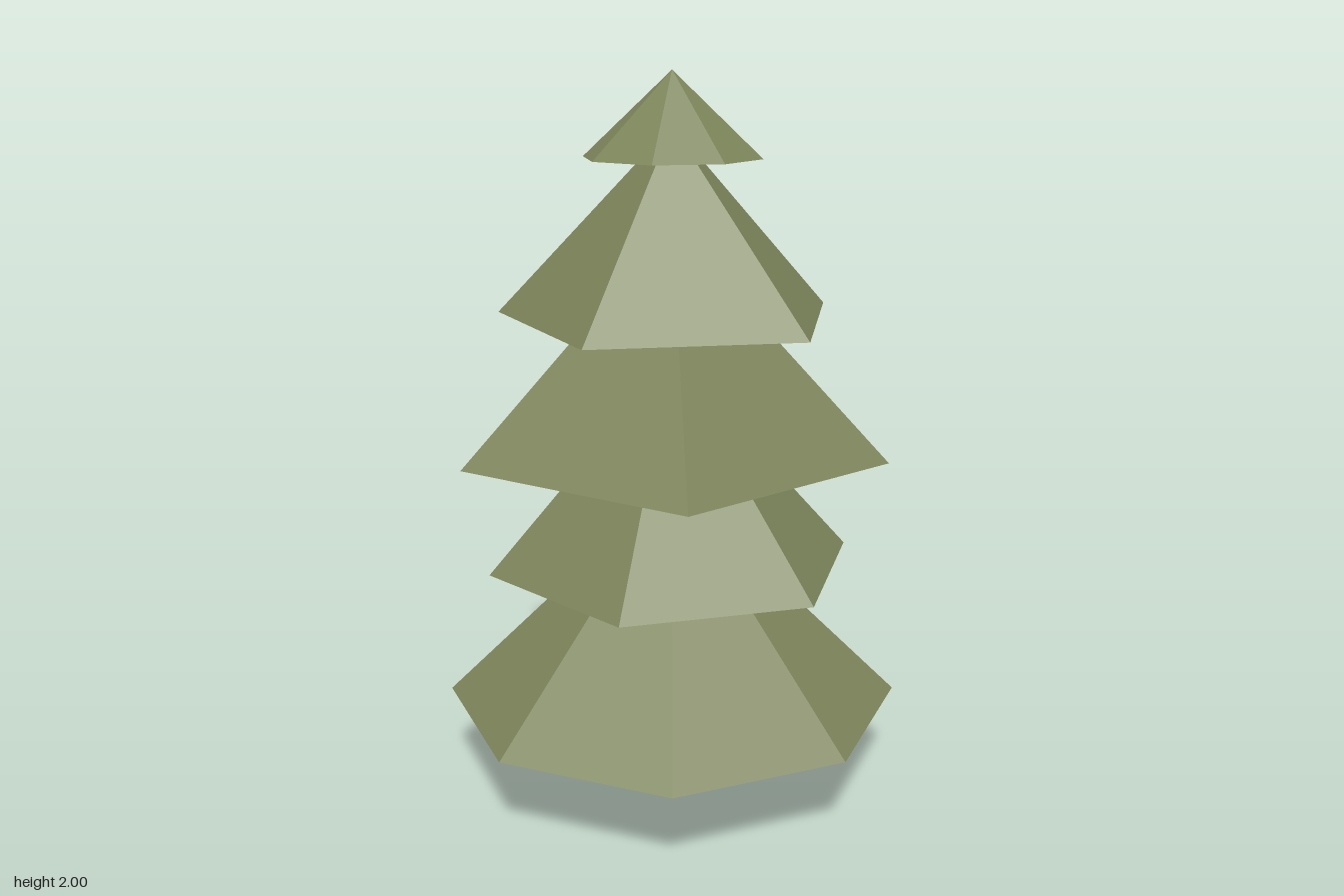
import * as THREE from 'three';

export function createModel() {
  const tree = new THREE.Group();
  tree.name = 'pineTree';

  const foliage = new THREE.MeshStandardMaterial({ color: 0x7d855b, flatShading: true });
  foliage.name = 'foliageGreen';
  const bark = new THREE.MeshStandardMaterial({ color: 0x8a6853, flatShading: true });
  bark.name = 'barkBrown';

  // Octagonal trunk, reaching a little way into the lowest tier
  const trunkHeight = 0.4;
  const trunk = new THREE.Mesh(new THREE.CylinderGeometry(0.115, 0.115, trunkHeight, 8), bark);
  trunk.name = 'trunk';
  trunk.position.y = trunkHeight / 2;
  tree.add(trunk);

  // Foliage tiers: closed cones; angle turns a corner from +x towards +z, in degrees
  const tiers = [
    { name: 'bottomTier', sides: 8, radius: 0.64, base: 0.255, apex: 0.88, angle: 0 },
    { name: 'lowerTier', sides: 6, radius: 0.52, base: 0.655, apex: 1.24, angle: 0 },
    { name: 'middleTier', sides: 5, radius: 0.6, base: 0.98, apex: 1.6, angle: 41.4 },
    { name: 'upperTier', sides: 5, radius: 0.485, base: 1.35, apex: 1.86, angle: 0 },
    { name: 'topTier', sides: 8, radius: 0.243, base: 1.775, apex: 2, angle: 12 },
  ];
  for (const { name, sides, radius, base, apex, angle } of tiers) {
    const start = THREE.MathUtils.degToRad(90 - angle);
    const cone = new THREE.ConeGeometry(radius, apex - base, sides, 1, false, start);
    const tier = new THREE.Mesh(cone, foliage);
    tier.name = name;
    tier.position.y = (base + apex) / 2;
    tree.add(tier);
  }

  return tree;
}
